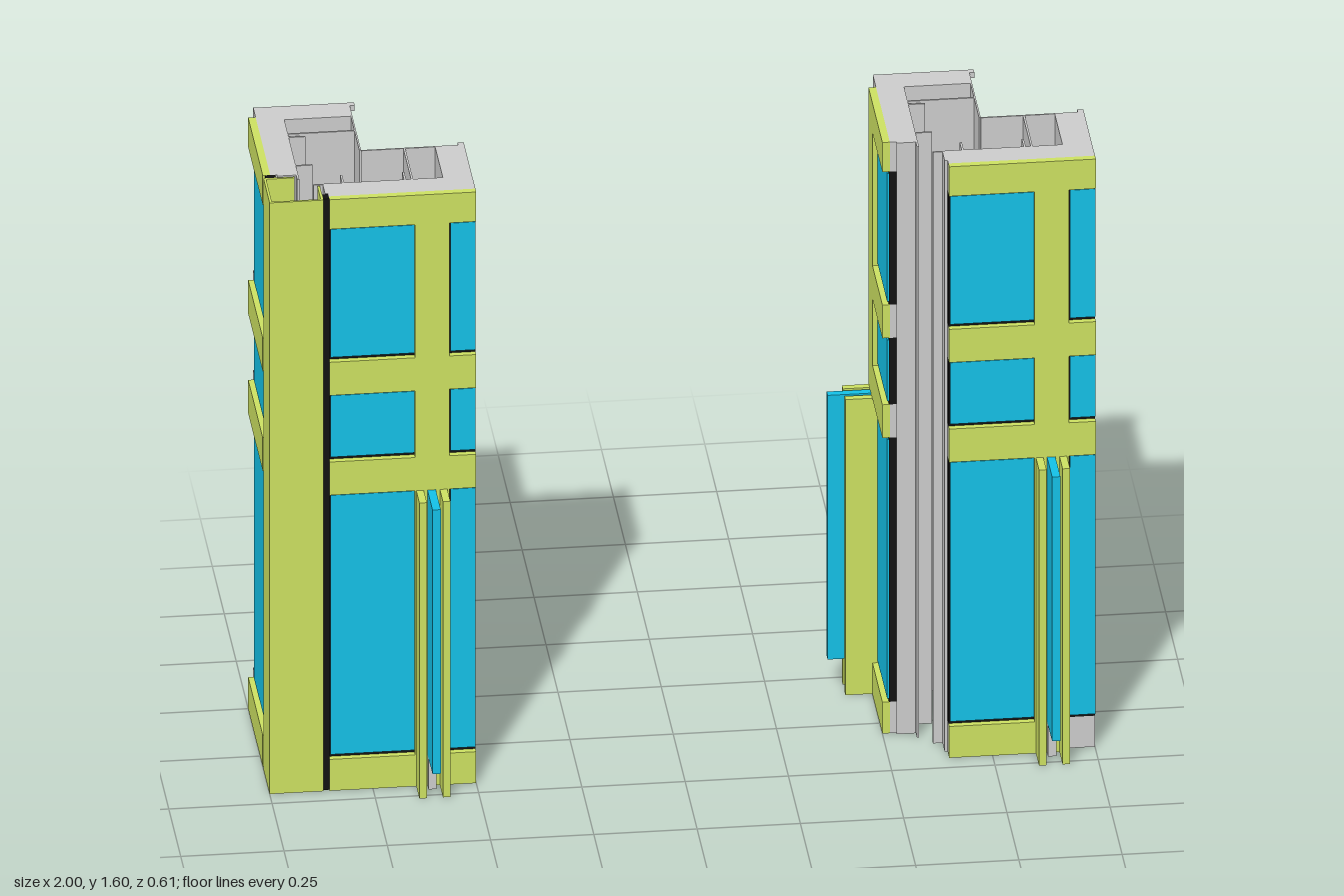
import * as THREE from 'three';

const material = (color) => new THREE.MeshStandardMaterial({ color, flatShading: true });
const grey = material(0xcccccc);
const green = material(0xcce061);
const blue = material(0x14c0e6);
const black = material(0x111111);

const H = 1.6;
// Heights of the horizontal rails and of the panes between them
const RAILS = [[0, 0.085], [0.8, 0.89], [1.07, 1.16], [1.52, H]];
const BAYS = [[0.085, 0.8], [0.89, 1.07], [1.16, 1.52]];

// Box in wing coordinates: u runs away from the outer corner, d runs inward from the face.
// The side wing is the front wing reflected across the diagonal of the corner.
function wingBox(wing, side) {
  return (name, mat, [u0, u1], [y0, y1], [d0, d1]) => {
    const u = (u0 + u1) / 2, y = (y0 + y1) / 2, d = (d0 + d1) / 2;
    const geometry = side
      ? new THREE.BoxGeometry(d1 - d0, y1 - y0, u1 - u0)
      : new THREE.BoxGeometry(u1 - u0, y1 - y0, d1 - d0);
    const mesh = new THREE.Mesh(geometry, mat);
    mesh.name = name;
    if (side) mesh.position.set(d, y, 0.2 - u);
    else mesh.position.set(u, y, 0.2 - d);
    wing.add(mesh);
  };
}

function createWing({ name, side = false, mullionCap = true, fin = true, capEnd = 0.5, paneEnd = 0.5, bottomCapEnd = capEnd }) {
  const wing = new THREE.Group();
  wing.name = name;
  const box = wingBox(wing, side);
  const full = [0, H];

  // Rails: coloured cap outside, grey body behind, open channel at the free end
  RAILS.forEach(([y0, y1], i) => {
    const end = i === 0 ? bottomCapEnd : capEnd;
    box('railCap', green, [0.145, end], [y0, y1], [0, 0.018]);
    box('railBody', grey, [0.145, 0.435], [y0, y1], [0.018, 0.085]);
    // Rail end built as thin profiles so that it stays hollow
    const t = 0.006;
    for (const y of [y0, y1 - t]) box('railEndPlate', grey, [0.435, 0.5], [y, y + t], [0.018, 0.25]);
    box('railEndWeb', grey, [0.435, 0.5], [y0, y1], [0.244, 0.25]);
    box('railEndDivider', grey, [0.435, 0.5], [y0, y1], [0.075, 0.081]);
    box('railEndFront', grey, [0.435, 0.5], [y0, y1], [0.018, 0.024]);
    box('railEndLip', grey, [0.435, 0.5], [y0 + 0.03, y0 + 0.036], [0.03, 0.075]);
  });

  // Panes in dark gaskets on both sides of the mullion
  const spans = mullionCap ? [[0.145, 0.355]] : [[0.145, paneEnd]];
  if (mullionCap && paneEnd > 0.435) spans.push([0.435, paneEnd]);
  for (const bay of BAYS) {
    for (const [u0, u1] of spans) {
      box('gasket', black, [u0, u1], bay, [0.016, 0.034]);
      box('pane', blue, [u0 + 0.004, u1], [bay[0] + 0.007, bay[1] - 0.007], [0.012, 0.03]);
    }
  }

  // Mullion: hollow box reaching back to the inner lining
  if (mullionCap) {
    box('mullionCap', green, [0.352, 0.435], full, [0, 0.018]);
  }
  box('mullionOuterWall', grey, [0.429, 0.435], full, [0.018, 0.25]);
  box('mullionInnerWall', grey, [0.352, 0.357], full, [0.034, 0.25]);
  for (const d of [0.04, 0.06]) box('mullionWeb', grey, [0.352, 0.435], full, [d, d + 0.005]);
  box('mullionNose', grey, [0.435, 0.447], full, [0.034, 0.06]);

  // Back pan behind the panes, with stiffeners, and the jamb next to the corner
  box('backPan', grey, [0.145, 0.357], full, [0.08, 0.085]);
  for (const u of [0.185, 0.335]) box('stiffener', grey, [u, u + 0.005], full, [0.085, 0.125]);
  box('jamb', grey, [0.138, 0.145], full, [0.034, 0.085]);
  box('jambReturn', grey, [0.115, 0.14], full, [0.08, 0.085]);

  // Inner lining
  box('lining', grey, [0.25, 0.435], full, [0.246, 0.25]);
  box('liningHook', grey, [0.485, 0.5], [1.585, H], [0.25, 0.262]);

  // Projecting fin held between two brackets
  if (fin) {
    for (const u of [0.355, 0.412]) {
      box('finBracket', green, [u, u + 0.018], [0, 0.8], [-0.065, 0]);
    }
    box('fin', blue, [0.382, 0.402], [0.085, 0.8], [-0.105, 0]);
    box('finFoot', grey, [0.382, 0.402], [0, 0.085], [-0.02, 0]);
  }
  return wing;
}

// Folded cover over the outer corner
function createCornerCover() {
  const cover = new THREE.Group();
  cover.name = 'cornerCover';
  for (const side of [false, true]) {
    const box = wingBox(cover, side);
    box('coverFace', green, [0, 0.13], [0, H], [0, 0.006]);
    box('coverReturn', green, [0.124, 0.13], [0, H], [0.006, 0.075]);
    box('coverSeal', black, [0.13, 0.145], [0, H], [0.006, 0.03]);
  }
  return cover;
}

export function createModel() {
  const model = new THREE.Group();
  model.name = 'facadeCorners';

  // Finished corner
  const covered = new THREE.Group();
  covered.name = 'coveredCorner';
  covered.add(
    createWing({ name: 'frontWing' }),
    createWing({ name: 'sideWing', side: true, mullionCap: false, fin: false, capEnd: 0.45, paneEnd: 0.435 }),
    createCornerCover()
  );
  covered.position.x = -1;

  // Corner with the cover left off
  const open = new THREE.Group();
  open.name = 'openCorner';
  open.add(
    createWing({ name: 'frontWing', bottomCapEnd: 0.435 }),
    createWing({ name: 'sideWing', side: true, capEnd: 0.435, paneEnd: 0.435 })
  );
  open.position.x = 0.5;

  model.add(covered, open);
  return model;
}
